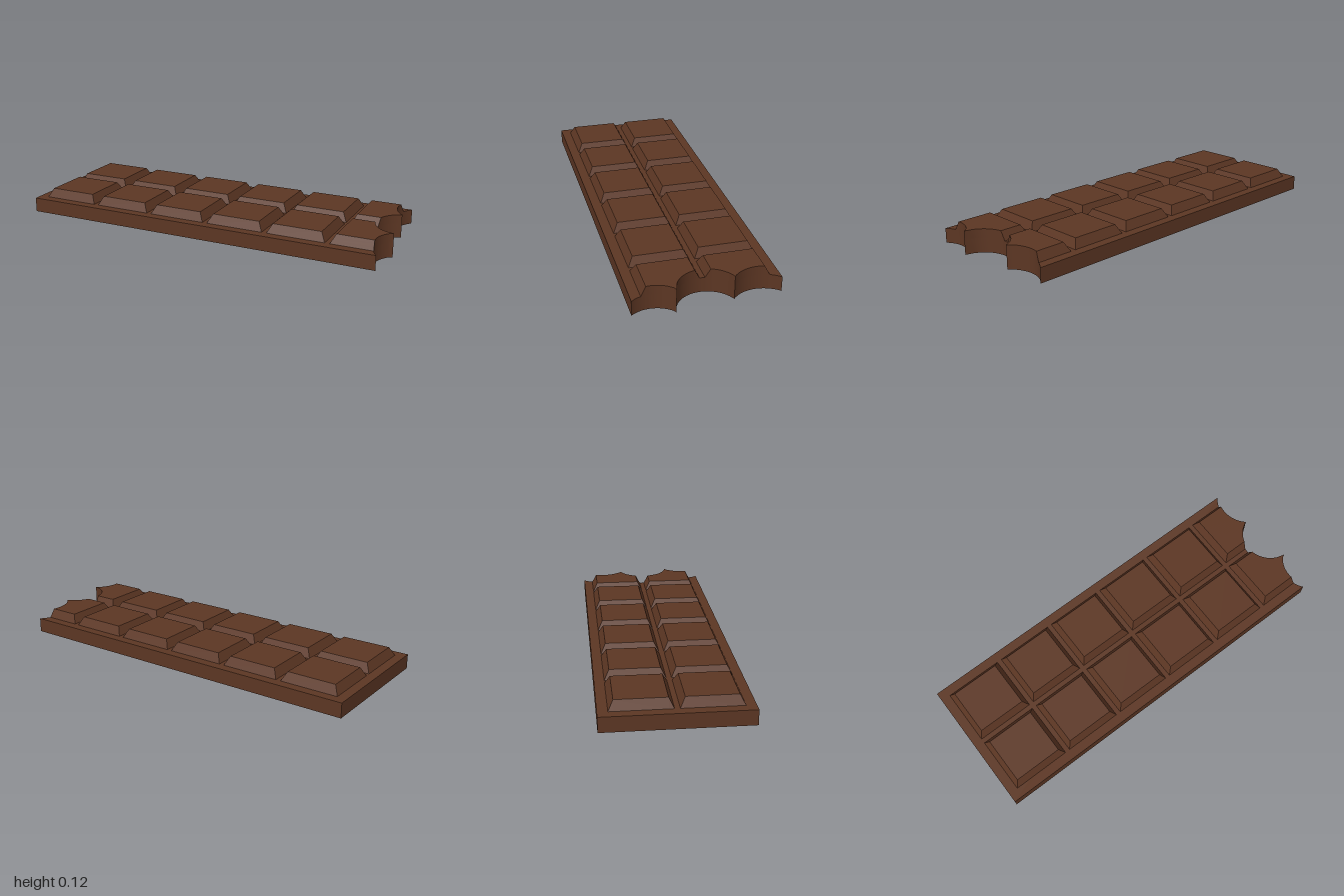
import * as THREE from 'three';
import { toCreasedNormals } from 'three/addons/utils/BufferGeometryUtils.js';

const BASE_H = 0.078, TOP_H = 0.125, HALF_D = 0.365;
const BEVEL = 0.025, BLOCK_W = 0.31, PITCH = 0.336, FIRST_X = -0.95;
const CREASE = 0.45;

// Bites taken from the +x end: circle centre, radius and the z range each covers
const bites = [
  { x: 1.077, z: -0.25, r: 0.164, from: -HALF_D, to: -0.128 },
  { x: 1.022, z: 0.012, r: 0.15, from: -0.128, to: 0.161 },
  { x: 1.091, z: 0.273, r: 0.145, from: 0.161, to: HALF_D },
];

function biteEdge(z) {
  const b = bites.find((bite) => z <= bite.to) || bites[2];
  return b.x - Math.sqrt(Math.max(0, b.r * b.r - (z - b.z) ** 2));
}

// z positions along the bitten end, including the cusps between bites
const biteSamples = [];
for (const b of bites) {
  for (let i = 0; i < 24; i++) biteSamples.push(b.from + ((b.to - b.from) * i) / 24);
}
biteSamples.push(HALF_D);

// Bevelled block lofted along z; a bitten block ends on the bite curve
function blockGeometry(x0, z0, z1, bitten) {
  let zs = [z0, z0 + BEVEL, z1 - BEVEL, z1];
  if (bitten) {
    zs = zs.concat(biteSamples.filter((z) => z > z0 && z < z1 && zs.every((k) => Math.abs(k - z) > 1e-4)));
    zs.sort((a, b) => a - b);
  }
  const rows = zs.map((z) => {
    const h = Math.max(0, Math.min(1, (z - z0) / BEVEL, (z1 - z) / BEVEL));
    const y = BASE_H + (TOP_H - BASE_H) * h;
    const low = bitten ? biteEdge(z) : x0 + BLOCK_W;
    const high = bitten ? low : low - BEVEL * h;
    return [[x0, BASE_H, z], [x0 + BEVEL * h, y, z], [high, y, z], [low, BASE_H, z]];
  });
  const pos = [];
  for (let i = 0; i < rows.length - 1; i++) {
    for (let j = 0; j < 3; j++) {
      const a = rows[i][j], b = rows[i + 1][j], c = rows[i + 1][j + 1], d = rows[i][j + 1];
      pos.push(...a, ...b, ...d, ...b, ...c, ...d);
    }
  }
  const geo = new THREE.BufferGeometry();
  geo.setAttribute('position', new THREE.Float32BufferAttribute(pos, 3));
  geo.computeVertexNormals();
  return toCreasedNormals(geo, CREASE);
}

export function createModel() {
  const group = new THREE.Group();
  group.name = 'chocolateBar';
  const chocolate = new THREE.MeshStandardMaterial({ color: 0x5c3623 });
  chocolate.name = 'chocolate';

  // Flat slab with the bitten end
  const outline = [
    new THREE.Vector2(-1, HALF_D),
    new THREE.Vector2(-1, -HALF_D),
    ...biteSamples.map((z) => new THREE.Vector2(biteEdge(z), z)),
  ];
  const slabGeo = new THREE.ExtrudeGeometry(new THREE.Shape(outline), { depth: BASE_H, bevelEnabled: false });
  slabGeo.rotateX(Math.PI / 2).translate(0, BASE_H, 0);
  const slab = new THREE.Mesh(toCreasedNormals(slabGeo, CREASE), chocolate);
  slab.name = 'slab';
  group.add(slab);

  // Two rows of six blocks, the last column bitten
  for (const [rowName, z0, z1] of [['back', -0.315, -0.013], ['front', 0.013, 0.315]]) {
    for (let i = 0; i < 6; i++) {
      const block = new THREE.Mesh(blockGeometry(FIRST_X + i * PITCH, z0, z1, i === 5), chocolate);
      block.name = `${rowName}Block${i + 1}`;
      group.add(block);
    }
  }
  return group;
}
